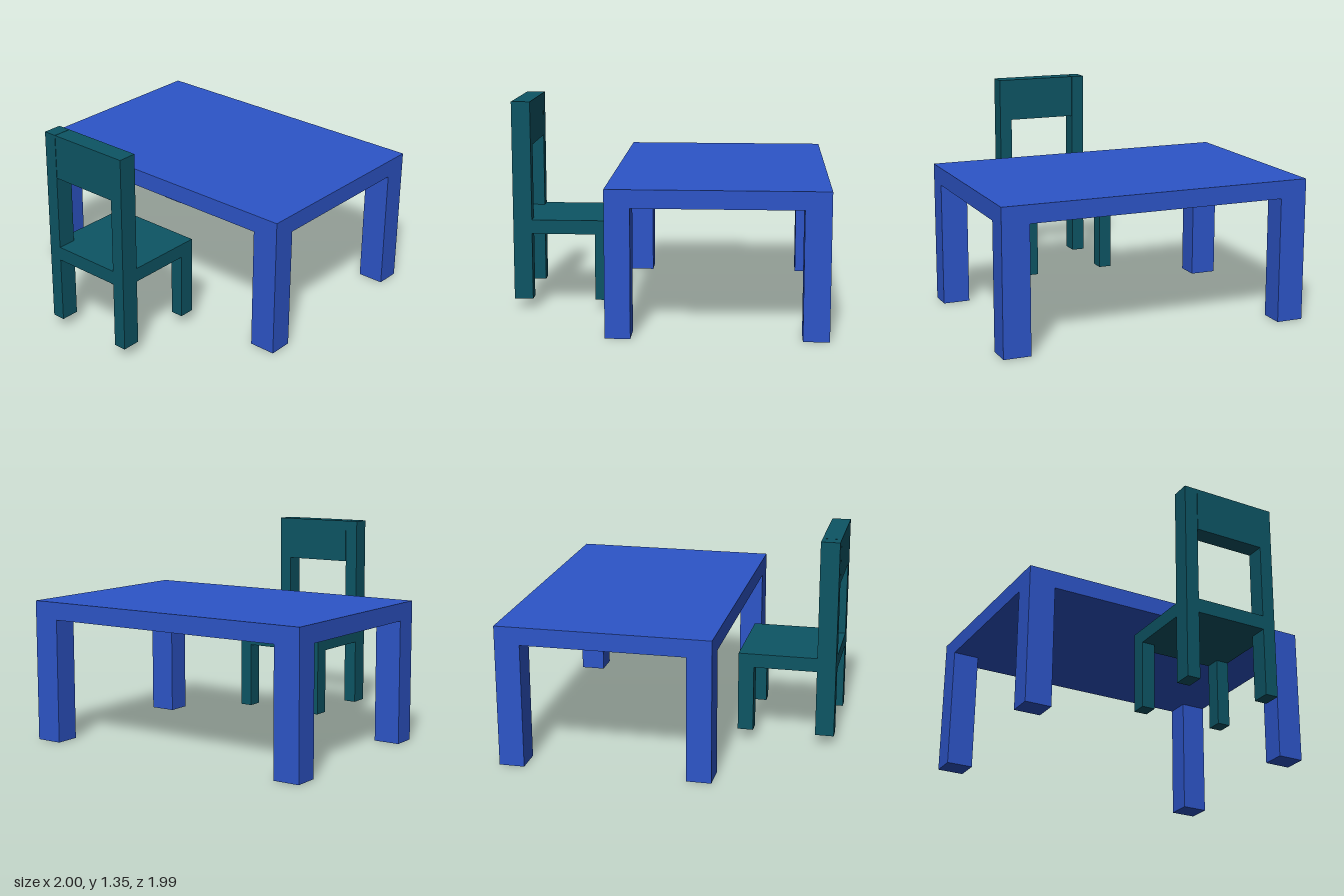
import * as THREE from 'three';

const blue = new THREE.MeshStandardMaterial({ color: 0x2d55c8 });
const teal = new THREE.MeshStandardMaterial({ color: 0x0d5564 });

// Box given by its [min, max] extents on each axis
function block(name, material, [x0, x1], [y0, y1], [z0, z1]) {
  const mesh = new THREE.Mesh(new THREE.BoxGeometry(x1 - x0, y1 - y0, z1 - z0), material);
  mesh.position.set((x0 + x1) / 2, (y0 + y1) / 2, (z0 + z1) / 2);
  mesh.name = name;
  return mesh;
}

function createTable() {
  const table = new THREE.Group();
  table.name = 'table';
  table.add(block('tableTop', blue, [-0.345, 1], [0.795, 0.908], [-0.995, 0.998]));
  // Four corner legs
  for (const x of [[-0.345, -0.19], [0.84, 1]]) {
    for (const z of [[-0.995, -0.823], [0.825, 0.998]]) {
      table.add(block('tableLeg', blue, x, [0, 0.795], z));
    }
  }
  return table;
}

function createChair() {
  const chair = new THREE.Group();
  chair.name = 'chair';
  const floor = 0.07, seatBottom = 0.5, seatTop = 0.59, top = 1.35;
  const back = [-1, -0.88];
  const sides = [[-0.275, -0.19], [0.27, 0.353]];
  chair.add(block('seat', teal, [-0.88, -0.375], [seatBottom, seatTop], [-0.275, 0.353]));
  chair.add(block('seatRearRail', teal, back, [seatBottom, seatTop], [-0.19, 0.27]));
  chair.add(block('backrest', teal, back, [1.067, top], [-0.187, 0.27]));
  // Front legs and tall back posts
  for (const z of sides) {
    chair.add(block('frontLeg', teal, [-0.475, -0.375], [floor, seatBottom], z));
    chair.add(block('backPost', teal, back, [floor, top], z));
  }
  return chair;
}

export function createModel() {
  const model = new THREE.Group();
  model.name = 'tableAndChair';
  model.add(createTable(), createChair());
  return model;
}
